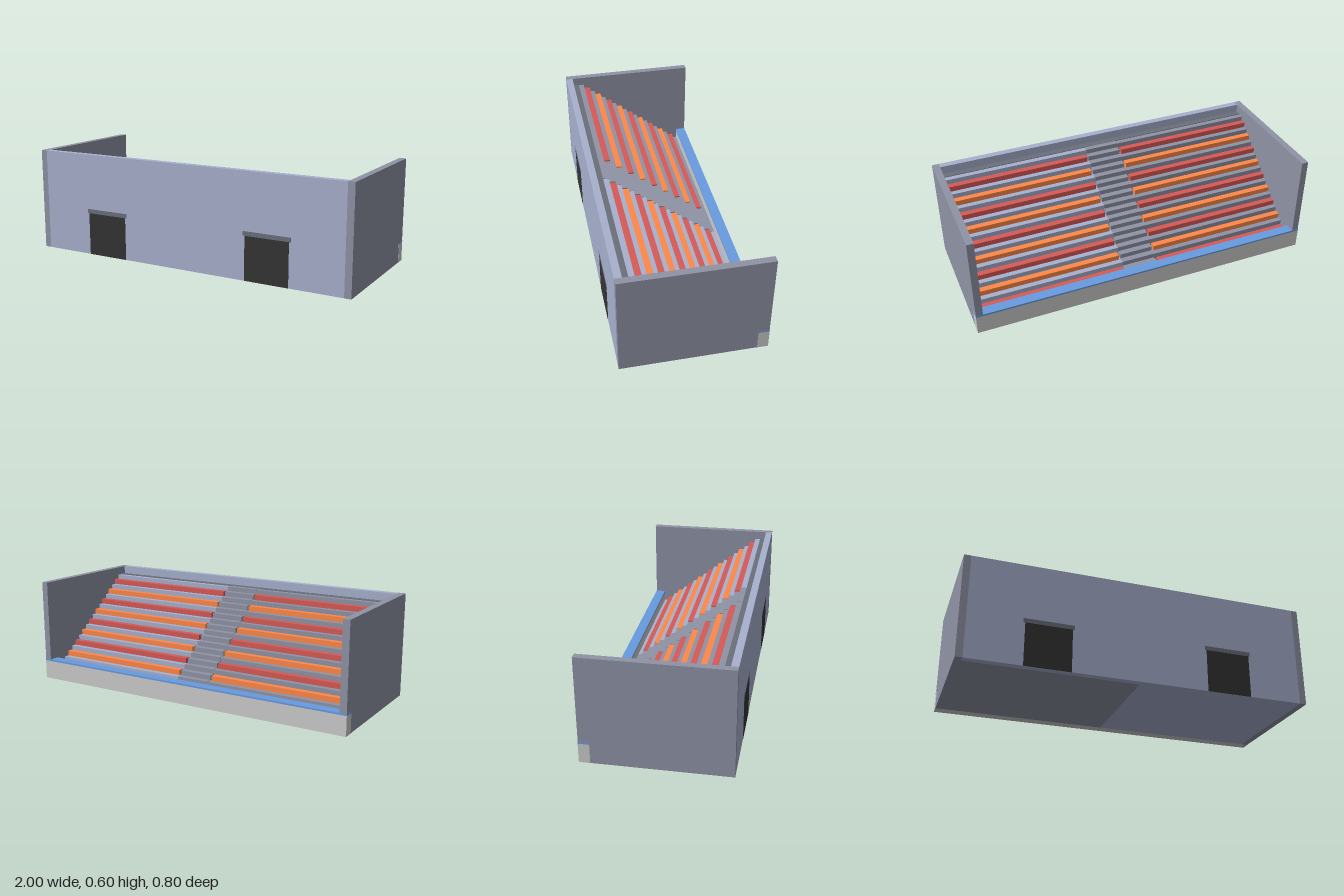
import * as THREE from 'three';

export function createModel() {
  const model = new THREE.Group();
  const mat = (color) => new THREE.MeshStandardMaterial({ color });
  const light = mat(0xa7b0ce), dark = mat(0x8f93a5), slate = mat(0x6a6f7b);
  const red = mat(0xd65a55), orange = mat(0xff8848), blue = mat(0x689be0);
  const grey = mat(0xcccccc), black = mat(0x333333);

  // Box given by its extents on each axis
  function box(name, material, x0, x1, y0, y1, z0, z1) {
    const mesh = new THREE.Mesh(new THREE.BoxGeometry(x1 - x0, y1 - y0, z1 - z0), material);
    mesh.position.set((x0 + x1) / 2, (y0 + y1) / 2, (z0 + z1) / 2);
    mesh.name = name;
    model.add(mesh);
  }

  const tiers = 10, rise = 0.055, run = 0.07, z0 = -0.34;

  // Stepped stand, one solid profile for each half
  const profile = new THREE.Shape();
  profile.moveTo(-z0, 0);
  for (let i = 0; i < tiers; i++) {
    profile.lineTo(-z0 - i * run, (i + 1) * rise);
    profile.lineTo(-z0 - (i + 1) * run, (i + 1) * rise);
  }
  profile.lineTo(-0.36, 0);
  const half = new THREE.ExtrudeGeometry(profile, { depth: 0.96, bevelEnabled: false });
  half.rotateY(Math.PI / 2);
  for (const [name, x, material] of [['leftTiers', 0, light], ['rightTiers', -0.96, dark]]) {
    const mesh = new THREE.Mesh(half, material);
    mesh.position.x = x;
    mesh.name = name;
    model.add(mesh);
  }

  // Bench rows on both sides of the aisle
  for (let i = 0; i < tiers - 1; i++) {
    const y = (i + 1) * rise, z = z0 + i * run + 0.031;
    const material = i % 2 ? orange : red;
    box('bench', material, 0.11, 0.96, y, y + 0.03, z, z + 0.035);
    box('bench', material, -0.96, -0.11, y, y + 0.03, z, z + 0.035);
  }

  // Aisle stairs, two steps per tier
  for (let k = 0; k < 2 * tiers - 1; k++) {
    const z = z0 + k * run / 2, top = rise + k * rise / 2 + 0.002;
    box('aisleStep', dark, -0.1, 0.1, top - 0.04, top, z - 0.0005, z + run / 2);
  }

  // Walkway behind the top row
  box('topWalkway', slate, -0.96, 0.96, 0.54, 0.553, 0.322, 0.36);

  // Walls
  box('facadeWall', light, -0.96, 0.96, 0, 0.6, 0.36, 0.399);
  box('leftSideWall', dark, 0.96, 0.999, 0, 0.6, -0.399, 0.399);
  box('rightSideWall', dark, -0.999, -0.96, 0, 0.6, -0.399, 0.399);

  // Low parapet with coloured cap
  box('parapet', grey, -1, 1, 0, 0.11, -0.4, z0);
  box('parapetCap', blue, -1, 1, 0.11, 0.12, -0.4, z0);

  // Entrances in the facade
  for (const x of [-0.52, 0.52]) {
    box('entrance', black, x - 0.13, x + 0.13, 0, 0.25, 0.38, 0.4);
    box('entranceLintel', slate, x - 0.14, x + 0.14, 0.25, 0.275, 0.38, 0.4);
  }
  return model;
}
